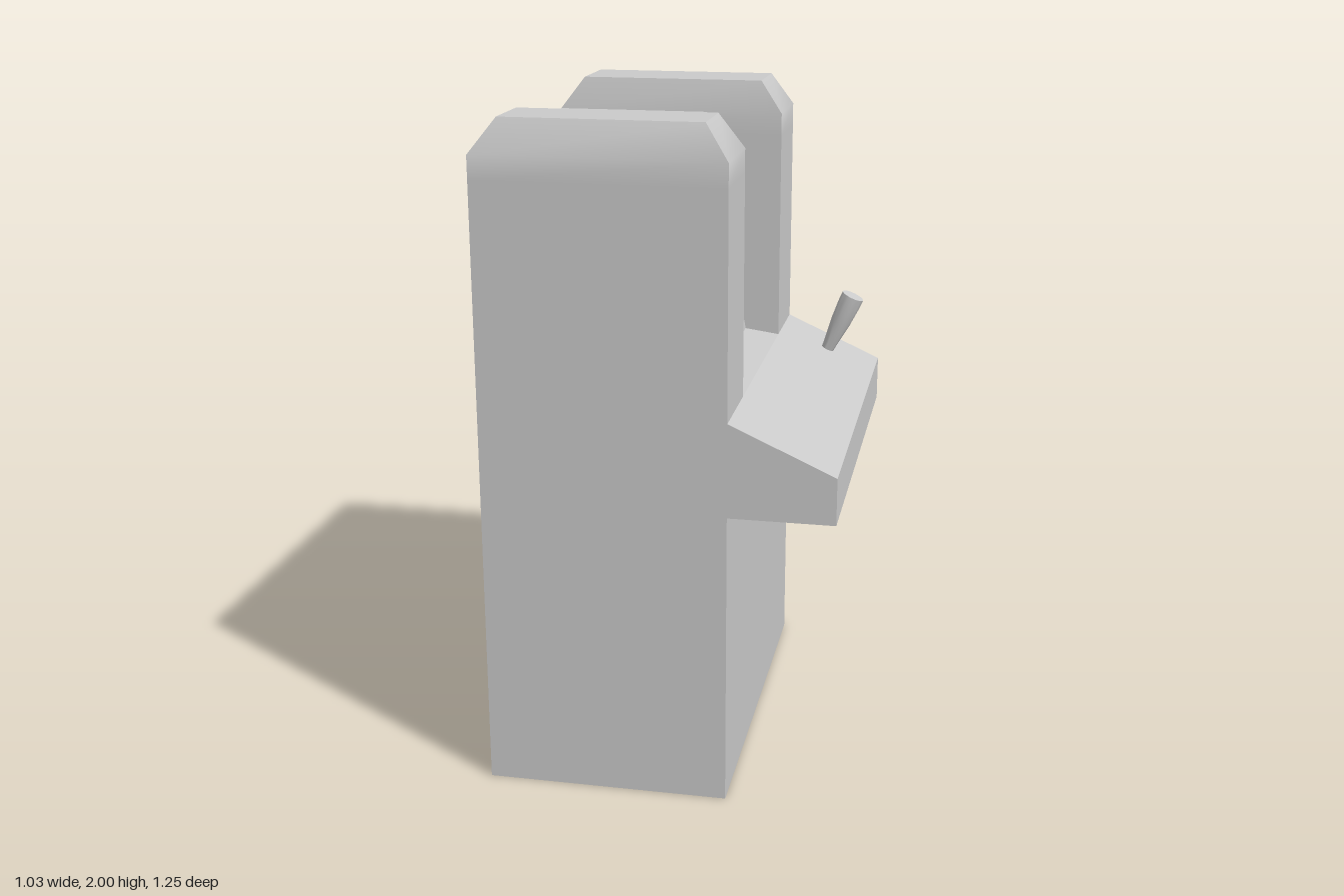
import * as THREE from 'three';
import { toCreasedNormals } from 'three/addons/utils/BufferGeometryUtils.js';

const material = new THREE.MeshStandardMaterial({ color: 0xcccccc });
const BACK = -0.52, FRONT = 0.205, DECK = 1.175, SHOULDER = 1.9, INNER = 0.356;

function add(group, name, geometry) {
  const mesh = new THREE.Mesh(geometry, material);
  mesh.name = name;
  group.add(mesh);
  return mesh;
}

// Flat-shaded surface from four-cornered faces, corners counter-clockwise
function quads(faces) {
  const points = faces.flatMap(([a, b, c, d]) => [a, b, c, a, c, d]);
  const geometry = new THREE.BufferGeometry();
  geometry.setAttribute('position', new THREE.Float32BufferAttribute(points.flat(), 3));
  geometry.computeVertexNormals();
  return geometry;
}

// Sweep an (x, y) path across the gap between the pillars
function strip(path) {
  return quads(path.slice(1).map(([x1, y1], i) => {
    const [x0, y0] = path[i];
    return [[x0, y0, -INNER], [x0, y0, INNER], [x1, y1, INNER], [x1, y1, -INNER]];
  }));
}

// Tilted rectangle facing +x
const ring = (xLow, yLow, xHigh, yHigh, half) => [
  [xLow, yLow, half], [xLow, yLow, -half], [xHigh, yHigh, -half], [xHigh, yHigh, half],
];

// Upright pillar whose last stretch tapers in to a smaller top
function pillar(z0, z1, top0, top1) {
  const levels = [DECK, 1.83, SHOULDER, 2];
  const geometry = new THREE.BoxGeometry(1, 1, 1, 1, 3, 1);
  const p = geometry.attributes.position;
  for (let i = 0; i < p.count; i++) {
    const level = Math.round((p.getY(i) + 0.5) * 3);
    const tip = level === 3;
    const x = p.getX(i) < 0 ? (tip ? -0.445 : BACK) : (tip ? 0.135 : FRONT);
    const z = p.getZ(i) < 0 ? (tip ? top0 : z0) : (tip ? top1 : z1);
    p.setXYZ(i, x, levels[level], z);
  }
  return toCreasedNormals(geometry, THREE.MathUtils.degToRad(42));
}

export function createModel() {
  const model = new THREE.Group();
  model.name = 'arcadeCabinet';

  // Lower cabinet with the sloping control deck
  const profile = new THREE.Shape([
    [BACK, 0], [FRONT, 0], [FRONT, 0.895], [0.515, 0.895],
    [0.515, 1.035], [FRONT, DECK], [BACK, DECK],
  ].map(([x, y]) => new THREE.Vector2(x, y)));
  const body = new THREE.ExtrudeGeometry(profile, { depth: 1.245, bevelEnabled: false });
  body.translate(0, 0, -0.6235);
  add(model, 'cabinetBody', body);

  // Side pillars
  add(model, 'leftPillar', pillar(-0.6235, -INNER, -0.595, -0.38));
  add(model, 'rightPillar', pillar(INNER, 0.6215, 0.39, 0.58));

  // Monitor housing: back and roof, then the ledge below the screen
  add(model, 'monitorHousing', strip([[BACK, DECK], [BACK, SHOULDER], [-0.035, SHOULDER]]));
  add(model, 'screenLedge', strip([[0.095, 1.19], [FRONT, DECK]]));

  // Tilted bezel, recess walls and screen
  const outer = ring(0.095, 1.19, -0.035, SHOULDER, INNER);
  const opening = ring(0.086, 1.24, -0.025, 1.845, 0.26);
  const inner = ring(0.05, 1.246, -0.058, 1.826, 0.248);
  const between = (a, b) => quads(a.map((corner, i) => {
    const j = (i + 1) % 4;
    return [corner, a[j], b[j], b[i]];
  }));
  add(model, 'screenBezel', between(outer, opening));
  add(model, 'screenRecess', between(opening, inner));
  add(model, 'screen', quads([inner]));

  // Joystick leaning forward from the deck
  const base = new THREE.Vector3(0.35, 1.088, -0.465);
  const tip = new THREE.Vector3(0.438, 1.29, -0.465);
  const axis = tip.clone().sub(base);
  const length = axis.length();
  const outline = [[0, 0], [0.019, 0], [0.023, 0.2], [0.033, 0.55], [0.037, 0.85], [0.037, 1], [0, 1]]
    .map(([r, t]) => new THREE.Vector2(r, t * length));
  const stick = add(model, 'joystick',
    toCreasedNormals(new THREE.LatheGeometry(outline, 20), Math.PI / 4));
  stick.position.copy(base);
  stick.quaternion.setFromUnitVectors(new THREE.Vector3(0, 1, 0), axis.normalize());

  return model;
}
